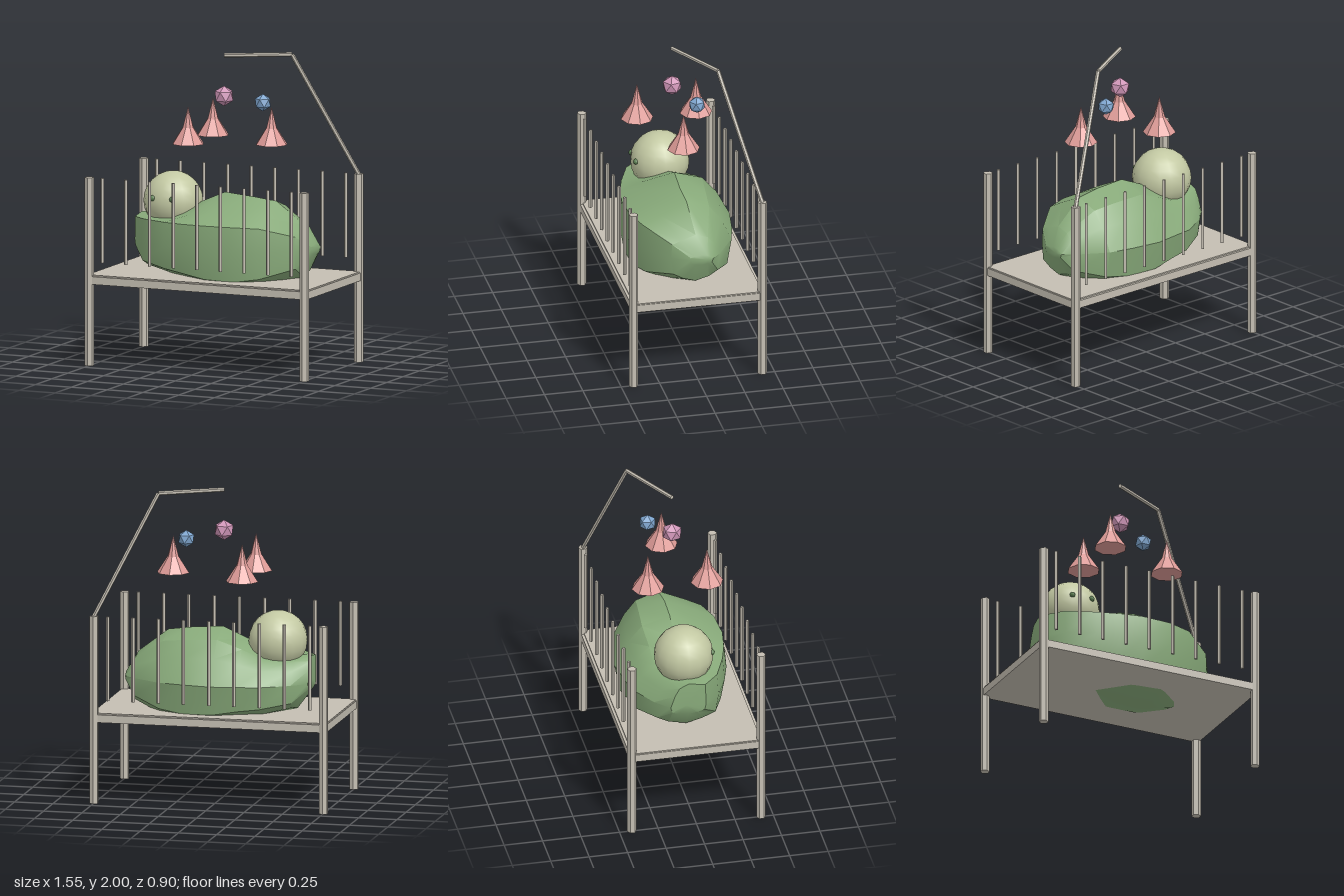
import * as THREE from 'three';
import { toCreasedNormals } from 'three/addons/utils/BufferGeometryUtils.js';

const paint = (name, color) => {
  const m = new THREE.MeshStandardMaterial({ color });
  m.name = name;
  return m;
};
const wood = paint('pale wood', 0xc4beb2);
const green = paint('blanket green', 0x88aa7a);
const skin = paint('pale head', 0xc3c9a3);
const dark = paint('eye green', 0x5c7f52);
const coral = paint('coral', 0xdf9c98);
const pink = paint('pink', 0xd096b8);
const blue = paint('blue', 0x7fa6cf);

export function createModel() {
  const model = new THREE.Group();
  model.name = 'crib';
  const add = (name, geo, mat, x = 0, y = 0, z = 0) => {
    const mesh = new THREE.Mesh(geo, mat);
    mesh.name = name;
    mesh.position.set(x, y, z);
    model.add(mesh);
    return mesh;
  };
  const flat = (geo) => toCreasedNormals(geo, 0.1);

  // Bed board with a slightly raised top
  add('bedBoard', new THREE.BoxGeometry(1.54, 0.05, 0.87), wood, 0, 0.551, 0);
  add('bedTop', new THREE.BoxGeometry(1.53, 0.02, 0.836), wood, 0, 0.574, 0);

  // Corner posts and floating spindles
  const post = flat(new THREE.CylinderGeometry(0.03, 0.03, 1.213, 6));
  const spindle = flat(new THREE.CylinderGeometry(0.012, 0.012, 0.547, 4));
  for (const z of [-0.42, 0.42]) {
    for (const x of [-0.75, 0.75]) add('post', post, wood, x, 0.6065, z);
    for (let i = -4; i <= 4; i++) add('spindle', spindle, wood, i * 0.165, 0.9395, z);
  }

  // Bent arm of the mobile
  const armPoints = [[0.75, 1.21, -0.42], [0.377, 1.986, -0.215], [0, 1.986, 0]]
    .map((p) => new THREE.Vector3(...p));
  for (let i = 0; i < 2; i++) {
    const a = armPoints[i], b = armPoints[i + 1];
    const dir = b.clone().sub(a);
    const bar = add('mobileArm', flat(new THREE.CylinderGeometry(0.014, 0.014, dir.length(), 6)), wood);
    bar.position.copy(a).add(b).multiplyScalar(0.5);
    bar.quaternion.setFromUnitVectors(new THREE.Vector3(0, 1, 0), dir.normalize());
  }

  // Hanging flared cones
  const profile = [[0, 0], [0.105, 0], [0.036, 0.105], [0, 0.24]].map((p) => new THREE.Vector2(...p));
  const cone = flat(new THREE.LatheGeometry(profile, 8));
  for (const [x, z] of [[-0.164, 0.192], [-0.164, -0.192], [0.332, 0]]) add('hangingCone', cone, coral, x, 1.435, z);

  // Hanging faceted balls, one corner pointing up
  const ball = (r) => new THREE.IcosahedronGeometry(r, 0).rotateX(-Math.atan((1 + Math.sqrt(5)) / 2));
  add('pinkBall', ball(0.066), pink, 0, 1.725, 0);
  add('blueBall', ball(0.056), blue, 0.22, 1.68, -0.113);

  // Head and eyes
  add('head', new THREE.SphereGeometry(0.19, 16, 12), skin, -0.354, 1.03, 0);
  for (const x of [-0.422, -0.286]) add('eye', new THREE.SphereGeometry(0.019, 8, 6), dark, x, 1.063, 0.17);

  // Blanket bundle
  add('bundle', bundleGeometry(), green);
  return model;
}

// Lofts cross-sections along x: [x, front z, back z, top y, shoulder y, bottom y]
function bundleGeometry() {
  const sections = [
    [-0.578, 0.1, -0.13, 0.942, 0.925, 0.72],
    [-0.485, 0.2, -0.22, 0.945, 0.93, 0.595],
    [-0.3, 0.28, -0.33, 0.96, 0.93, 0.55],
    [-0.16, 0.32, -0.35, 1.035, 0.932, 0.525],
    [0, 0.345, -0.375, 1.105, 0.935, 0.487],
    [0.2, 0.333, -0.345, 1.09, 0.935, 0.476],
    [0.36, 0.28, -0.308, 1.07, 0.93, 0.51],
    [0.55, 0.13, -0.19, 0.925, 0.87, 0.6],
    [0.615, 0.02, -0.13, 0.81, 0.795, 0.74],
  ];
  const mid = 0.777, mix = THREE.MathUtils.lerp;
  const pos = [], idx = [];
  for (const [x, f, b, top, sh, bot] of sections) {
    const c = (f + b) / 2, h = (f - b) / 2;
    const ring = [
      [0, top], [0.58, mix(sh, top, 0.42)], [0.95, sh], [1, mid],
      [0.91, mix(mid, bot, 0.65)], [0.5, mix(mid, bot, 0.86)], [0, bot],
      [-0.55, mix(mid, bot, 0.86)], [-0.9, mix(mid, bot, 0.65)], [-1, mid],
      [-0.76, mix(mid, top, 0.5)], [-0.5, mix(mid, top, 0.83)],
    ];
    for (const [u, y] of ring) pos.push(x, y, c + u * h);
  }
  const n = 12, last = (sections.length - 1) * n;
  for (let i = 0; i < last; i += n) {
    for (let j = 0; j < n; j++) {
      const k = (j + 1) % n;
      idx.push(i + j, i + k, i + n + j, i + k, i + n + k, i + n + j);
    }
  }
  // End caps
  const caps = pos.length / 3;
  pos.push(-0.588, 0.79, -0.03, 0.623, 0.775, -0.09);
  for (let j = 0; j < n; j++) {
    const k = (j + 1) % n;
    idx.push(caps, k, j, caps + 1, last + j, last + k);
  }
  const geo = new THREE.BufferGeometry();
  geo.setAttribute('position', new THREE.Float32BufferAttribute(pos, 3));
  geo.setIndex(idx);
  return toCreasedNormals(geo, 0.55);
}
